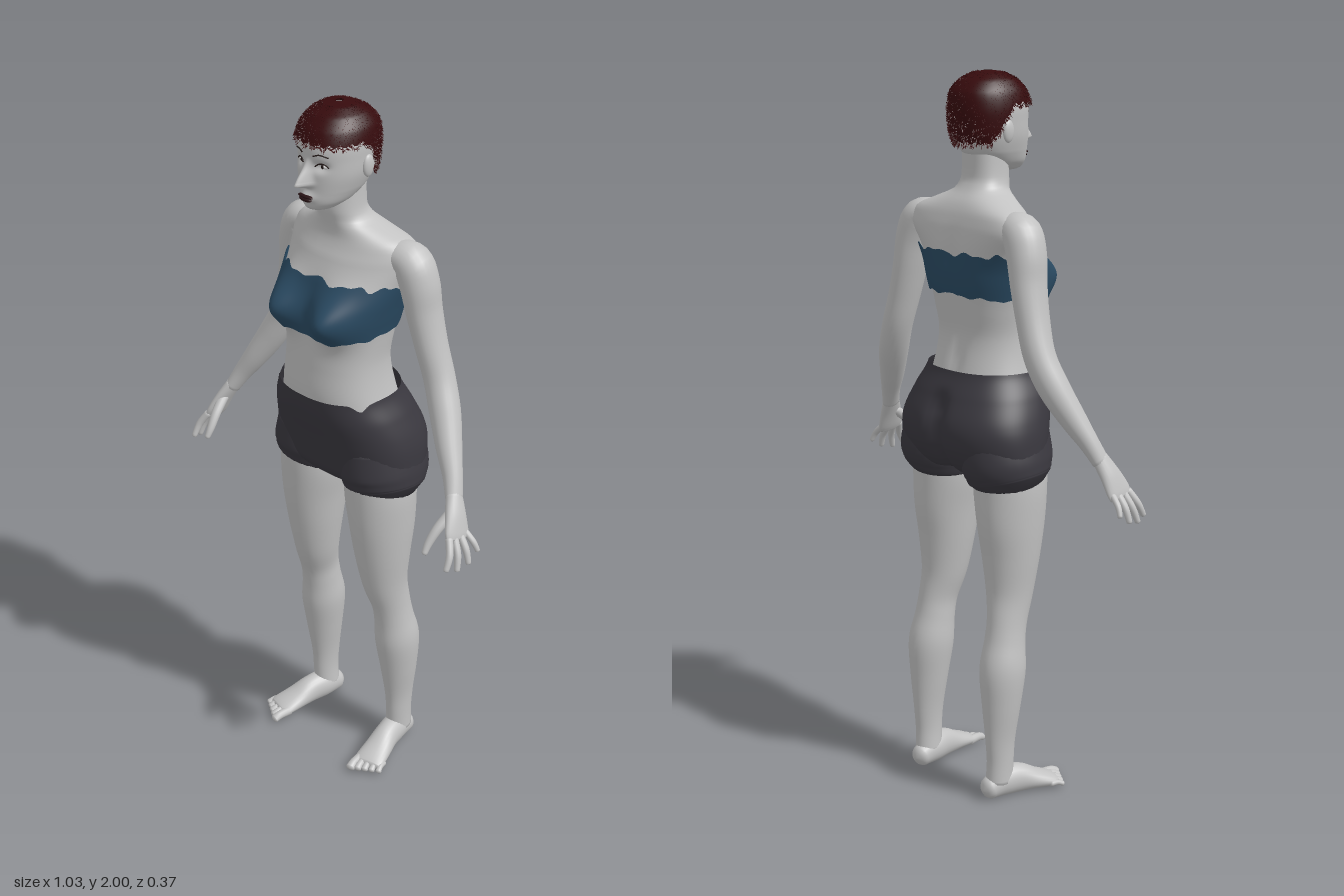
import * as THREE from 'three';

const mat = (name, color, side = THREE.FrontSide) => {
  const m = new THREE.MeshStandardMaterial({ color, side });
  m.name = name;
  return m;
};
const gauss = (d, s) => Math.exp(-((d / s) ** 2));
const spow = (v, e) => Math.sign(v) * Math.abs(v) ** e;
const smooth = THREE.MathUtils.smoothstep;

// Catmull-Rom through table rows, column by column
function spline(rows, k, f) {
  const row = i => rows[Math.max(0, Math.min(rows.length - 1, i))];
  return rows[0].map((_, c) => {
    const [p, q, r, s] = [-1, 0, 1, 2].map(d => row(k + d)[c]);
    return q + 0.5 * f * (r - p + f * (2 * p - 5 * q + 4 * r - s + f * (3 * (q - r) + s - p)));
  });
}

// Surface closed around u and open along v
function grid(fn, nu, nv) {
  const pos = [], idx = [];
  for (let j = 0; j <= nv; j++) for (let i = 0; i < nu; i++) pos.push(...fn(i / nu, j / nv));
  for (let j = 0; j < nv; j++) for (let i = 0; i < nu; i++) {
    const k = (i + 1) % nu, a = j * nu + i, b = j * nu + k;
    idx.push(a, b, b + nu, a, b + nu, a + nu);
  }
  const g = new THREE.BufferGeometry();
  g.setAttribute('position', new THREE.Float32BufferAttribute(pos, 3));
  g.setIndex(idx);
  g.computeVertexNormals();
  return g;
}

// Round-ended limb through rows of [x, y, z, radius across, radius along ref]
function limb(rows, ref = [0, 0, 1], nu = 20, per = 5) {
  const n = rows.length - 1, nv = n * per, R = new THREE.Vector3(...ref);
  const at = t => {
    const k = Math.min(n - 1, Math.floor(t * n));
    return spline(rows, k, t * n - k);
  };
  const cap = [[-1, 0.001, 0.5], [-1, 0.7, 0.35]];
  return grid((u, v) => {
    const j = Math.round(v * (nv + 4)) - 2;
    const t = Math.max(0, Math.min(1, j / nv));
    const [x, y, z, ra, rb] = at(t);
    const A = at(Math.max(0, t - 0.02)), B = at(Math.min(1, t + 0.02));
    const T = new THREE.Vector3(B[0] - A[0], B[1] - A[1], B[2] - A[2]).normalize();
    const f = R.clone().addScaledVector(T, -R.dot(T)).normalize();
    const r = new THREE.Vector3().crossVectors(T, f);
    const over = j < 0 ? -j : Math.max(0, j - nv);
    const [, shrink, push] = over ? cap[2 - over] : [0, 1, 0];
    const a = u * Math.PI * 2;
    return new THREE.Vector3(x, y, z)
      .addScaledVector(r, Math.sin(a) * ra * shrink)
      .addScaledVector(f, Math.cos(a) * rb * shrink)
      .addScaledVector(T, Math.sign(j) * push * Math.min(ra, rb)).toArray();
  }, nu, nv + 4);
}

function mirrored(geo) {
  const g = geo.clone().scale(-1, 1, 1), id = g.index.array;
  for (let i = 0; i < id.length; i += 3) [id[i], id[i + 1]] = [id[i + 1], id[i]];
  g.computeVertexNormals();
  return g;
}

// Horizontal ring from rows of [y, half width, front z, back z]
function ring(rows, y, a, off = 0, e = 0.86) {
  let k = 0;
  while (k < rows.length - 2 && y > rows[k + 1][0]) k++;
  const [, w, zf, zb] = spline(rows, k, (y - rows[k][0]) / (rows[k + 1][0] - rows[k][0]));
  const zr = (zf - zb) / 2 + off;
  return [(w + off) * spow(Math.sin(a), e), y, (zf + zb) / 2 + zr * spow(Math.cos(a), e)];
}

const TORSO = [[0.98, 0.19, 0.09, -0.13], [1.1, 0.185, 0.13, -0.13], [1.2, 0.158, 0.153, -0.108],
  [1.3, 0.145, 0.147, -0.09], [1.38, 0.152, 0.138, -0.1], [1.46, 0.168, 0.133, -0.113],
  [1.54, 0.185, 0.112, -0.114], [1.6, 0.2, 0.088, -0.106], [1.64, 0.185, 0.07, -0.095],
  [1.665, 0.13, 0.066, -0.082], [1.69, 0.077, 0.069, -0.062], [1.72, 0.062, 0.074, -0.046],
  [1.8, 0.058, 0.07, -0.045]];
const HEAD = [[1.732, 0.006, 0.1, 0.07], [1.738, 0.033, 0.126, 0.035], [1.76, 0.058, 0.137, -0.01],
  [1.79, 0.074, 0.138, -0.05], [1.83, 0.086, 0.138, -0.07], [1.87, 0.09, 0.136, -0.078],
  [1.91, 0.091, 0.134, -0.08], [1.945, 0.083, 0.118, -0.072], [1.97, 0.062, 0.09, -0.045],
  [1.985, 0.033, 0.055, -0.01], [1.99, 0, 0.025, 0.02]];
const SHORTS = [[0.925, 0.09, 0.04, -0.07], [0.94, 0.18, 0.085, -0.125], [0.97, 0.225, 0.108, -0.155],
  [1.02, 0.23, 0.122, -0.178], [1.08, 0.222, 0.138, -0.18], [1.15, 0.198, 0.157, -0.152],
  [1.215, 0.168, 0.166, -0.122]];

// Trunk with bust, swept-back shoulders and spine groove
function torsoPoint(a, y, off = 0) {
  const [x, , z] = ring(TORSO, y, a, off);
  const c = Math.cos(a), up = smooth(y, 1.48, 1.6);
  let d = -0.9 * up * x * x;
  if (c > 0) d += 0.062 * gauss(Math.abs(x) - 0.088, 0.058) * gauss(y - 1.45, 0.062) * smooth(c, 0, 0.4);
  else d += 0.01 * gauss(x, 0.022) * smooth(y, 1.15, 1.25) * (1 - smooth(y, 1.5, 1.62));
  return [x, y, z + d];
}

// Face relief: nose, eye sockets, lips and chin
function relief(x, y) {
  const nose = y > 1.816 ? 1 - smooth(y, 1.806, 1.885) : smooth(y, 1.798, 1.816);
  return 0.046 * nose * gauss(x, 0.011 + 0.06 * Math.max(0, 1.87 - y) * nose)
    - 0.012 * gauss(Math.abs(x) - 0.036, 0.018) * gauss(y - 1.86, 0.012)
    + 0.012 * gauss(x, 0.022) * gauss(y - 1.776, 0.013)
    + 0.005 * gauss(x, 0.025) * gauss(y - 1.748, 0.01);
}
function headPoint(a, y, off = 0) {
  const p = ring(HEAD, y, a, off, 0.92);
  if (Math.cos(a) > 0) p[2] += relief(p[0], y);
  return p;
}
function faceZ(x, y) {
  const w = headPoint(Math.PI / 2, y)[0];
  return headPoint(Math.asin(Math.min(1, (Math.abs(x) / w) ** (1 / 0.92))), y)[2];
}

const hairline = a => 1.918 - 0.1 * smooth((1 - Math.cos(a)) / 2, 0.45, 0.85) + 0.004 * Math.sin(a * 23);
function hairPoint(a, y, off = 0.009) {
  const p = ring(HEAD, y, a, off, 0.92);
  return [p[0], y + 0.01 * smooth(y, 1.9, 1.99), p[2]];
}

// Short tapering strands scattered over the scalp
function strands(count) {
  let seed = 7;
  const rnd = () => (seed = (seed * 16807) % 2147483647) / 2147483647;
  const pos = [], mid = new THREE.Vector3(0, 1.88, 0.025);
  for (let i = 0; i < count; i++) {
    const a = rnd() * Math.PI * 2, low = hairline(a) - 0.008;
    const p = new THREE.Vector3(...hairPoint(a, low + (1.985 - low) * rnd() ** 1.3, 0.006));
    const out = p.clone().sub(mid).normalize();
    const side = new THREE.Vector3(rnd() - 0.5, rnd() - 0.5, rnd() - 0.5).cross(out).normalize().multiplyScalar(0.0025);
    const tip = p.clone().addScaledVector(out, 0.007).addScaledVector(side, 1.5);
    tip.y -= 0.004;
    pos.push(...p.clone().add(side).toArray(), ...p.clone().sub(side).toArray(), ...tip.toArray());
  }
  const g = new THREE.BufferGeometry();
  g.setAttribute('position', new THREE.Float32BufferAttribute(pos, 3));
  g.computeVertexNormals();
  return g;
}

export function createModel() {
  const root = new THREE.Group();
  root.name = 'standingWoman';
  const skin = mat('skin', 0xc2c2c2), blue = mat('blueCloth', 0x2a4a62, THREE.DoubleSide);
  const dark = mat('charcoalCloth', 0x3a383f, THREE.DoubleSide), hair = mat('darkRedHair', 0x360b0d, THREE.DoubleSide);
  const lip = mat('darkLip', 0x2a1416), white = mat('eyeWhite', 0xdcdcdc), brown = mat('darkBrown', 0x241a18);
  const add = (name, geo, m) => {
    const o = new THREE.Mesh(geo, m);
    o.name = name;
    root.add(o);
  };
  const pair = (name, geo, m) => {
    add(name + 'Left', geo, m);
    add(name + 'Right', mirrored(geo), m);
  };
  const ball = (x, y, z, sx, sy, sz) => new THREE.SphereGeometry(1, 20, 14).scale(sx, sy, sz).translate(x, y, z);
  const TAU = Math.PI * 2, lerp = THREE.MathUtils.lerp;

  // Trunk and head
  add('torso', grid((u, v) => torsoPoint(u * TAU, lerp(0.98, 1.8, v)), 72, 90), skin);
  add('head', grid((u, v) => headPoint(u * TAU - 0.55 * Math.sin(u * TAU),
    lerp(1.732, 1.99, Math.sin(v * Math.PI / 2))), 110, 90), skin);
  pair('ear', ball(0.09, 1.848, 0.012, 0.01, 0.03, 0.018).rotateY(0), skin);

  // Face details
  pair('eye', ball(0.036, 1.86, faceZ(0.036, 1.86) - 0.007, 0.016, 0.007, 0.011), white);
  pair('iris', ball(0.036, 1.86, faceZ(0.036, 1.86) + 0.002, 0.005, 0.0055, 0.003), brown);
  const stroke = (pts, r) => new THREE.TubeGeometry(new THREE.CatmullRomCurve3(
    pts.map(([x, y]) => new THREE.Vector3(x, y, faceZ(x, y) + 0.001))), 12, r, 6);
  pair('upperLash', stroke([[0.02, 1.86], [0.03, 1.868], [0.043, 1.868], [0.054, 1.86]], 0.0018), brown);
  pair('eyebrow', stroke([[0.018, 1.888], [0.035, 1.894], [0.056, 1.888]], 0.0018), brown);
  const lz = faceZ(0, 1.776);
  add('upperLip', ball(0, 1.779, lz - 0.005, 0.025, 0.005, 0.008), lip);
  add('lowerLip', ball(0, 1.771, lz - 0.005, 0.021, 0.006, 0.008), lip);

  // Cropped hair
  add('hairCap', grid((u, v) => hairPoint(u * TAU,
    lerp(hairline(u * TAU), 1.99, Math.sin(v * Math.PI / 2))), 90, 30), hair);
  add('hairStrands', strands(3500), hair);

  // Bandeau with ragged edges
  const rag = a => 0.005 * Math.sin(a * 11 + 1) + 0.004 * Math.sin(a * 19);
  add('bandeau', grid((u, v) => {
    const a = u * TAU, back = (1 - Math.cos(a)) / 2;
    return torsoPoint(a, lerp(1.39 + 0.03 * back + 0.5 * rag(a + 2), 1.545 - 0.012 * back + rag(a), v), 0.008);
  }, 120, 24), blue);

  // Shorts: seat with cleft and notched waistband, plus two legs
  add('shortsSeat', grid((u, v) => {
    const a = u * TAU;
    const notch = 0.02 * gauss(Math.abs(Math.sin(a)) - 0.86, 0.07) * smooth(Math.cos(a), 0, 0.3);
    const p = ring(SHORTS, lerp(0.925, 1.215 - notch, v), a);
    if (Math.cos(a) < 0) p[2] += 0.028 * gauss(p[0], 0.028) * (1 - smooth(p[1], 1.1, 1.18));
    return p;
  }, 96, 40), dark);
  pair('shortsLeg', limb([[0.115, 1.06, -0.02, 0.1, 0.13], [0.124, 0.98, -0.022, 0.111, 0.136],
    [0.13, 0.94, -0.02, 0.11, 0.124], [0.133, 0.925, -0.019, 0.108, 0.115]], [0, 0, 1], 32), dark);

  // Legs
  pair('leg', limb([[0.122, 1.0, -0.01, 0.09, 0.11], [0.125, 0.9, -0.01, 0.095, 0.106],
    [0.13, 0.8, -0.012, 0.086, 0.1], [0.132, 0.7, -0.013, 0.075, 0.085], [0.135, 0.6, -0.02, 0.061, 0.07],
    [0.143, 0.52, -0.037, 0.051, 0.06], [0.146, 0.46, -0.048, 0.053, 0.06], [0.15, 0.38, -0.06, 0.06, 0.068],
    [0.152, 0.28, -0.066, 0.05, 0.058], [0.152, 0.18, -0.07, 0.036, 0.047], [0.152, 0.11, -0.07, 0.032, 0.042],
    [0.15, 0.05, -0.072, 0.034, 0.042]], [0, 0, 1], 28), skin);

  // Feet and toes
  const up = [0, 1, 0];
  pair('foot', limb([[0.145, 0.032, -0.112, 0.028, 0.03], [0.15, 0.044, -0.06, 0.036, 0.043],
    [0.16, 0.042, -0.01, 0.036, 0.042], [0.172, 0.03, 0.04, 0.042, 0.029], [0.183, 0.02, 0.085, 0.046, 0.019],
    [0.187, 0.017, 0.1, 0.043, 0.014]], up, 24), skin);
  for (let i = 0; i < 5; i++) {
    const s = i / 4, r = lerp(0.014, 0.009, Math.sqrt(s));
    pair('toe' + (i + 1), limb([[lerp(0.152, 0.219, s), 0.018, lerp(0.09, 0.065, s), r, r],
      [lerp(0.156, 0.225, s), 0.018, lerp(0.125, 0.085, s), r * 0.9, r * 0.9],
      [lerp(0.16, 0.231, s), 0.012, lerp(0.144, 0.1, s), r, r * 0.8]], up, 12), skin);
  }

  // Arms
  pair('arm', limb([[0.14, 1.612, -0.03, 0.035, 0.045], [0.195, 1.6, -0.04, 0.05, 0.055],
    [0.22, 1.545, -0.045, 0.05, 0.056], [0.234, 1.47, -0.05, 0.044, 0.053], [0.256, 1.38, -0.055, 0.041, 0.048],
    [0.285, 1.29, -0.058, 0.041, 0.044], [0.322, 1.21, -0.042, 0.041, 0.043], [0.365, 1.13, -0.013, 0.034, 0.036],
    [0.4, 1.07, 0.01, 0.026, 0.028], [0.425, 1.02, 0.03, 0.02, 0.026]], [0, 0, 1], 24), skin);

  // Hands
  pair('palm', limb([[0.422, 1.03, 0.028, 0.019, 0.024], [0.445, 0.985, 0.045, 0.018, 0.034],
    [0.462, 0.945, 0.058, 0.015, 0.041], [0.469, 0.928, 0.062, 0.012, 0.039]]), skin);
  const tips = [[0.49, 0.868, 0.128], [0.5, 0.858, 0.096], [0.506, 0.866, 0.058], [0.506, 0.888, 0.022]];
  tips.forEach(([x, y, z], i) => {
    const b = [0.466, 0.938, 0.092 - i * 0.02], r = i === 3 ? 0.009 : 0.0105;
    pair('finger' + (i + 1), limb([[...b, r, r], [(b[0] + x) / 2 + 0.007, (b[1] + y) / 2, (b[2] + z) / 2, r * 0.95, r * 0.95],
      [x, y, z, r * 0.75, r * 0.75]], [0, 0, 1], 12), skin);
  });
  pair('thumb', limb([[0.438, 0.99, 0.055, 0.014, 0.016], [0.428, 0.955, 0.095, 0.013, 0.014],
    [0.422, 0.92, 0.122, 0.011, 0.011], [0.422, 0.895, 0.138, 0.008, 0.008]], [1, 0, 0], 14), skin);
  return root;
}
